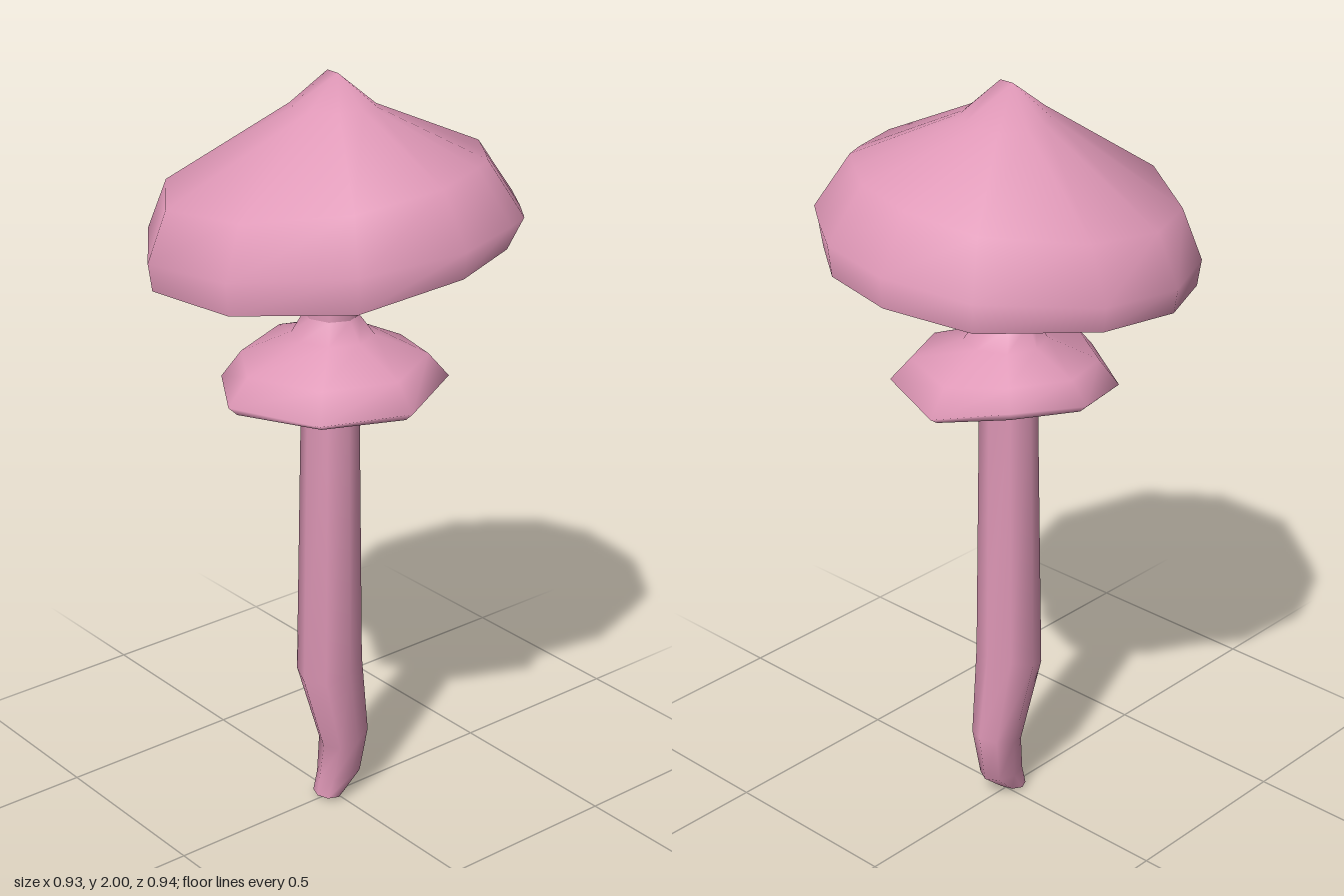
import * as THREE from 'three';
import { mergeVertices } from 'three/addons/utils/BufferGeometryUtils.js';

const pink = new THREE.MeshStandardMaterial({ color: 0xde97b6 });
pink.name = 'pink';

// Smooth skin over equal-sized rings, listed from the bottom up
function loft(name, rings) {
  const n = rings[0].length;
  const index = [];
  for (let r = 0; r < rings.length - 1; r++) {
    for (let i = 0; i < n; i++) {
      const a = r * n + i, b = r * n + (i + 1) % n;
      index.push(a, a + n, b, b, a + n, b + n);
    }
  }
  return build(name, rings.flat(), index);
}

// Downward-facing fan that closes a ring, rising or dipping to a centre point
function underside(name, ring, centre) {
  const n = ring.length;
  const index = [];
  for (let i = 0; i < n; i++) index.push(n, i, (i + 1) % n);
  return build(name, [...ring, centre], index);
}

function build(name, points, index) {
  let geo = new THREE.BufferGeometry();
  geo.setAttribute('position', new THREE.Float32BufferAttribute(points.flat(), 3));
  geo.setIndex(index);
  geo = mergeVertices(geo, 1e-4);
  geo.computeVertexNormals();
  const mesh = new THREE.Mesh(geo, pink);
  mesh.name = name;
  return mesh;
}

// Elliptical ring given by its x and z limits; tilt raises the +x side
function oval(n, y, x0, x1, z0, z1, tilt = 0) {
  return Array.from({ length: n }, (_, i) => {
    const a = (i / n) * Math.PI * 2, c = Math.cos(a), s = Math.sin(a);
    return [(x0 + x1) / 2 + c * (x1 - x0) / 2, y + c * tilt, (z0 + z1) / 2 + s * (z1 - z0) / 2];
  });
}

function makeStem() {
  const group = new THREE.Group();
  group.name = 'stem';
  const rings = [
    oval(8, 0.012, -0.055, 0.02, -0.045, 0.045, 0.002),
    oval(8, 0.065, -0.05, 0.08, -0.046, 0.052),
    oval(8, 0.18, -0.04, 0.095, -0.055, 0.072, 0.02),
    oval(8, 0.41, -0.105, 0.065, -0.08, 0.095, 0.03),
    oval(8, 1.2, -0.085, 0.06, -0.073, 0.078),
    oval(8, 1.4, -0.08, 0.055, -0.066, 0.08),
    oval(8, 1.7, -0.073, 0.067, -0.077, 0.068),
  ];
  group.add(loft('stemSkin', rings), underside('stemFoot', rings[0], [0, 0, 0]));
  return group;
}

function makeSkirt() {
  const group = new THREE.Group();
  group.name = 'skirt';
  // Radius, rim height and lower edge every eighth of a turn, from +x towards +z
  const rim = [[0.27, 1.205, 1.19], [0.29, 1.23, 1.212], [0.305, 1.21, 1.188], [0.305, 1.205, 1.188],
    [0.33, 1.215, 1.19], [0.285, 1.205, 1.19], [0.27, 1.235, 1.215], [0.26, 1.25, 1.225]];
  const ring = f => rim.map(([r, y, low], i) => {
    const a = (i / 8) * Math.PI * 2;
    const [radius, height] = f(r, y, low);
    return [radius * Math.cos(a), height, radius * Math.sin(a)];
  });
  const rings = [
    ring((r, y, low) => [r * 0.92, low]),
    ring((r, y) => [r, y]),
    ring((r, y) => [r * 0.82, 1.28 + (y - 1.215) * 0.5]),
    oval(8, 1.335, -0.11, 0.1, -0.1, 0.11),
    oval(8, 1.39, -0.08, 0.055, -0.066, 0.08),
  ];
  group.add(loft('skirtSkin', rings), underside('skirtUnderside', rings[0], [-0.01, 1.265, 0]));
  return group;
}

function makeCap() {
  const group = new THREE.Group();
  group.name = 'cap';
  // Widest outline (x, z) with the height of the lower edge; one point forms a notch
  const outline = [
    [-0.09, -0.47, 1.51], [0.14, -0.445, 1.525], [0.39, -0.26, 1.545], [0.46, -0.03, 1.565],
    [0.43, 0.175, 1.58], [0.35, 0.29, 1.605], [0.285, 0.375, 1.655], [0.215, 0.405, 1.612],
    [0.02, 0.465, 1.595], [-0.25, 0.4, 1.55], [-0.45, 0.16, 1.525], [-0.465, -0.13, 1.51],
    [-0.285, -0.385, 1.5],
  ];
  const ring = f => outline.map(([x, z, y]) => {
    const [scale, height] = f(x, z, y);
    return [x * scale, height, z * scale];
  });
  const rings = [
    ring((x, z, y) => [0.98, y]),
    ring((x, z) => [1, 1.62 + 0.06 * x + 0.09 * z]),
    ring((x, z) => [0.85 - 0.09 * x - 0.05 * z, 1.753 + 0.07 * x + 0.09 * z]),
    ring((x, z) => [0.23, 1.917 - 0.015 * x + 0.015 * z]),
    // Short blunt ridge at the tip
    outline.map(([, z]) => [-0.003, 2, Math.sign(z) * 0.02]),
  ];
  group.add(loft('capSkin', rings), underside('capUnderside', rings[0], [0, 1.69, 0]));
  return group;
}

export function createModel() {
  const model = new THREE.Group();
  model.name = 'mushroom';
  model.add(makeStem(), makeSkirt(), makeCap());
  return model;
}
